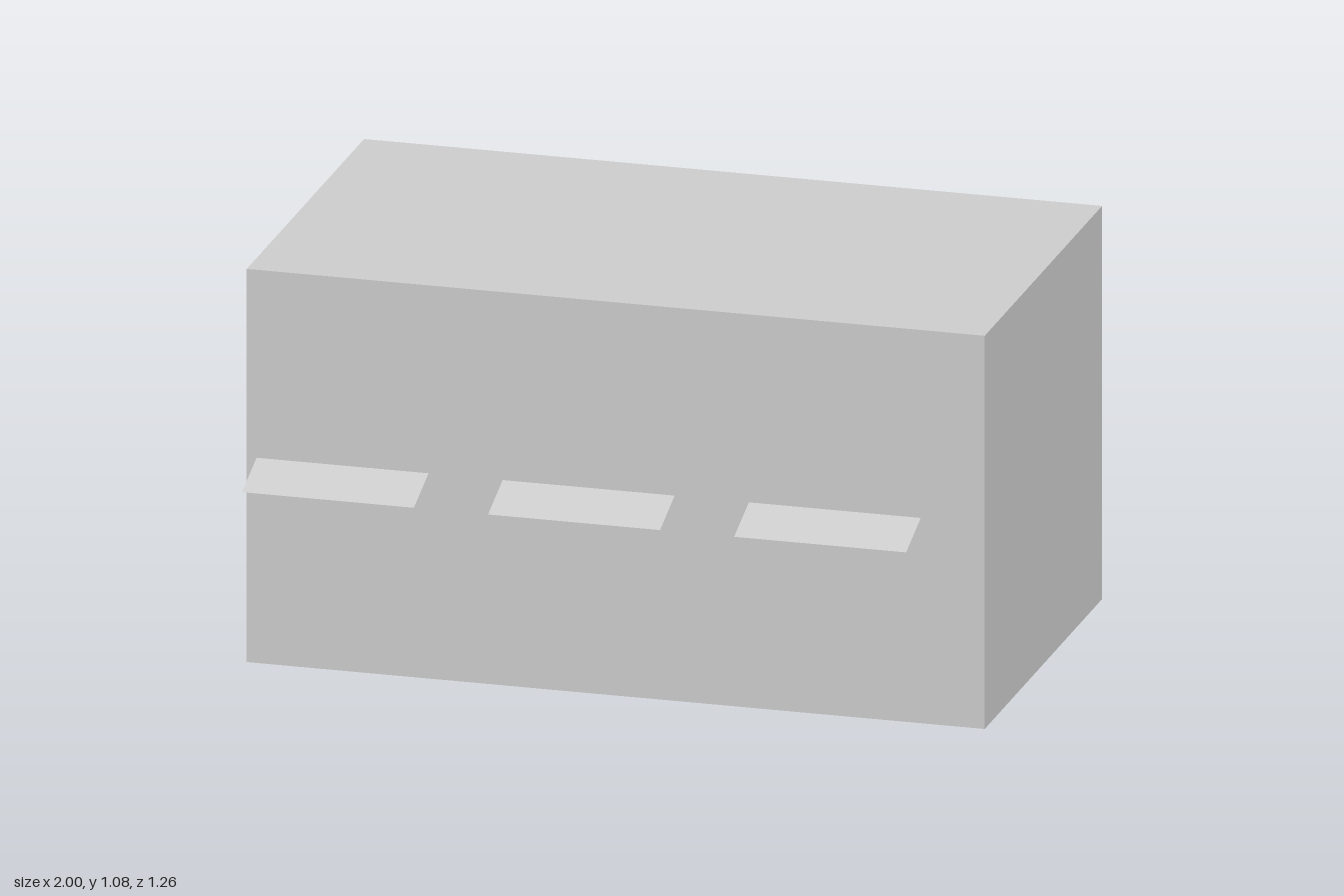
import * as THREE from 'three';

const FRONT = 0.476, BACK = -0.635, HEIGHT = 1.08, UNIT = 0.667;

export function createModel() {
  const group = new THREE.Group();
  const plaster = new THREE.MeshStandardMaterial({ color: 0xcccccc, side: THREE.DoubleSide });
  plaster.name = 'light grey';

  const add = (name, geometry, x, y, z, parent = group) => {
    const mesh = new THREE.Mesh(geometry, plaster);
    mesh.name = name;
    mesh.position.set(x, y, z);
    parent.add(mesh);
    return mesh;
  };

  // Main block
  add('building', new THREE.BoxGeometry(2, HEIGHT, FRONT - BACK), 0, HEIGHT / 2, (FRONT + BACK) / 2);

  // Flat panel just in front of the facade
  const panel = (name, x0, x1, y0, y1, parent) =>
    add(name, new THREE.PlaneGeometry(x1 - x0, y1 - y0), (x0 + x1) / 2, (y0 + y1) / 2, FRONT + 0.005, parent);

  // Three identical shopfronts side by side
  const rise = 0.05, reach = 0.139;
  for (let i = 0; i < 3; i++) {
    const shop = new THREE.Group();
    shop.name = 'shopfront' + (i + 1);
    shop.position.x = i * UNIT;
    group.add(shop);

    panel('upperWindowRight', -0.853, -0.732, 0.714, 0.882, shop);
    panel('upperWindowLeft', -0.61, -0.487, 0.714, 0.882, shop);
    panel('shopWindow', -0.947, -0.524, 0.272, 0.52, shop);
    panel('door', -0.498, -0.401, 0.226, 0.48, shop);

    // Thin awning sloping down and away from the wall
    const awning = add('awning', new THREE.PlaneGeometry(0.466, Math.hypot(rise, reach)),
      -0.736, 0.544, 0.491 + reach / 2, shop);
    awning.rotation.x = -Math.atan2(reach, rise);
  }
  return group;
}
